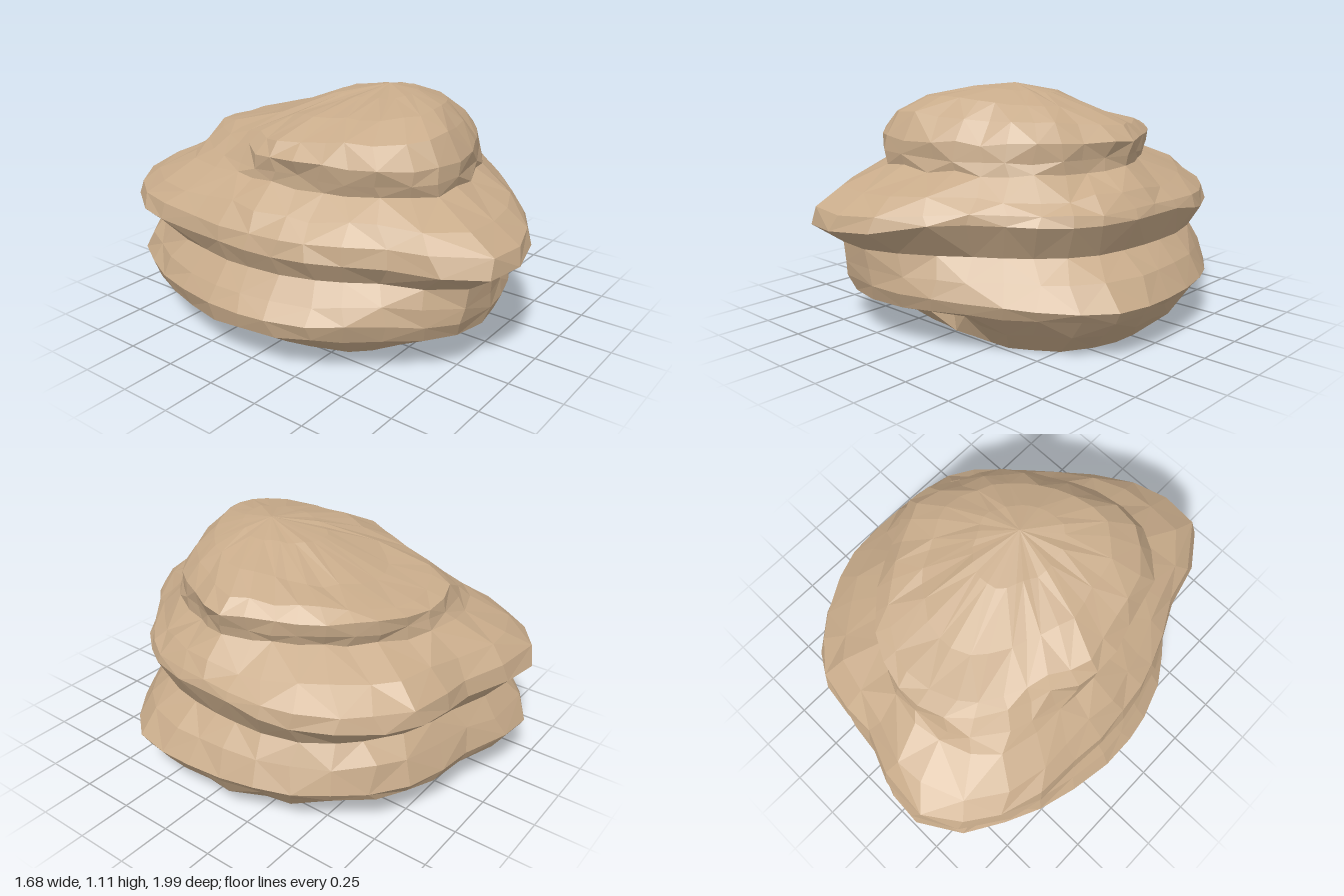
import * as THREE from 'three';

const SIDES = 32;

// Outlines: radii every 22.5 degrees, from +x round through +z (front)
const foot = [.62, .62, .6, .53, .48, .5, .52, .52, .5, .45, .4, .45, .53, .54, .53, .57];
const underside = [.73, .74, .69, .62, .5, .65, .69, .7, .7, .69, .72, .8, .74, .74, .73, .73];
const lowerLip = [.82, .865, .79, .76, .82, .89, .82, .83, .85, .88, .97, 1.07, .9, .9, .86, .83];
const groove = [.66, .67, .66, .67, .79, .91, .74, .72, .73, .77, .87, .95, .82, .8, .77, .72];
const upperLip = [.745, .76, .75, .77, .95, 1.06, .82, .78, .78, .83, 1.0, 1.08, .89, .92, .86, .8];
const neck = [.57, .55, .59, .6, .63, .69, .63, .55, .56, .6, .74, .74, .67, .59, .54, .53];
const cap = [.6, .56, .57, .57, .63, .7, .67, .575, .585, .54, .58, .66, .66, .61, .565, .55];
const blend = (a, b, t) => a.map((r, i) => r + (b[i] - r) * t);

// Smooth closed interpolation of an outline at an angle
function radiusAt(outline, angle) {
  const n = outline.length, t = (angle / (Math.PI * 2)) * n;
  const i = Math.floor(t), f = t - i;
  const [a, b, c, d] = [-1, 0, 1, 2].map(k => outline[(i + k + n) % n]);
  return b + 0.5 * f * (c - a + f * (2 * a - 5 * b + 4 * c - d + f * (3 * (b - c) + d - a)));
}

let seed = 7;
function jitter(amount) {
  seed = (seed * 16807) % 2147483647;
  return (seed / 2147483647 - 0.5) * 2 * amount;
}

// One cross-section: scaled outline, height as a rule of x and z, shifted centre, roughness
function ring({ outline, s = 1, y, cx = 0, cz = 0, rough = 0.01, lift = rough }) {
  const points = [];
  for (let i = 0; i < SIDES; i++) {
    const angle = (i / SIDES) * Math.PI * 2 + jitter(0.03);
    const r = radiusAt(outline, angle) * s + jitter(rough);
    const x = cx + Math.cos(angle) * r, z = cz + Math.sin(angle) * r;
    points.push(new THREE.Vector3(x, y(x, z) + jitter(lift), z));
  }
  return points;
}

// Faceted skin over rings from bottom to top, with optional end points
function layer(name, rings, material, { bottom, top } = {}) {
  const pos = [];
  const tri = (...ps) => ps.forEach(p => pos.push(p.x, p.y, p.z));
  for (let i = 0; i < SIDES; i++) {
    const j = (i + 1) % SIDES;
    for (let k = 0; k < rings.length - 1; k++) {
      const a = rings[k][i], b = rings[k][j], c = rings[k + 1][j], d = rings[k + 1][i];
      if ((i + k) % 2) { tri(a, d, b); tri(b, d, c); }
      else { tri(a, d, c); tri(a, c, b); }
    }
    if (bottom) tri(bottom, rings[0][i], rings[0][j]);
    if (top) tri(top, rings[rings.length - 1][j], rings[rings.length - 1][i]);
  }
  const geometry = new THREE.BufferGeometry();
  geometry.setAttribute('position', new THREE.Float32BufferAttribute(pos, 3));
  geometry.computeVertexNormals();
  const mesh = new THREE.Mesh(geometry, material);
  mesh.name = name;
  return mesh;
}

export function createModel() {
  const stone = new THREE.MeshStandardMaterial({ color: 0xc8ab8a, flatShading: true });

  // The upper lip climbs along the front left side
  const { smoothstep } = THREE.MathUtils;
  const climb = (x, z) => smoothstep(x, -0.1, 0.15) * smoothstep(z, -0.45, -0.2);

  // Rings where two layers meet
  const seam = ring({ outline: groove, y: () => 0.43, rough: 0.006, lift: 0 });
  const neckRing = ring({ outline: neck, y: () => 0.765, rough: 0.01 });

  // Flat foot, set forward under a hollow, flaring to the lower lip, then in to the groove
  const lower = [
    ring({ outline: foot, y: () => 0, lift: 0 }),
    ring({ outline: underside, y: () => 0.1 }),
    ring({ outline: lowerLip, s: 0.965, y: (x, z) => 0.185 + 0.015 * z }),
    ring({ outline: lowerLip, y: (x, z) => 0.25 + 0.015 * z - 0.02 * x, rough: 0.006 }),
    ring({ outline: blend(lowerLip, groove, 0.4), y: () => 0.34 }),
    seam,
  ];

  // Overhanging upper lip and the rough slope above it
  const upper = [
    seam,
    ring({ outline: upperLip, s: 0.99, y: (x, z) => 0.528 + 0.055 * climb(x, z), rough: 0.006 }),
    ring({ outline: upperLip, s: 0.97, y: (x, z) => 0.605 + 0.02 * climb(x, z), rough: 0.008 }),
    ring({ outline: blend(upperLip, neck, 0.42), y: () => 0.68, rough: 0.015 }),
    neckRing,
  ];

  // Domed cap stone, highest towards the front, running smoothly into the slope at the back
  const crown = [
    neckRing,
    ring({ outline: blend(neck, cap, 0.45), y: () => 0.815 }),
    ring({ outline: cap, y: (x, z) => 0.88 + 0.015 * z }),
    ring({ outline: cap, s: 0.89, y: (x, z) => 0.945 + 0.08 * z }),
    ring({ outline: cap, s: 0.66, y: (x, z) => 1.01 - 0.02 * x + (z < 0 ? 0.19 : 0.1) * z,
      cx: 0.02, cz: 0.05, rough: 0.008 }),
    ring({ outline: cap, s: 0.32, y: (x, z) => 1.065 + 0.08 * z, cx: 0.04, cz: 0.11, rough: 0.006 }),
  ];

  const group = new THREE.Group();
  group.name = 'layeredRock';
  group.add(
    layer('lowerLayer', lower, stone, { bottom: new THREE.Vector3(0.05, 0, 0) }),
    layer('upperLayer', upper, stone),
    layer('capStone', crown, stone, { top: new THREE.Vector3(0.06, 1.11, 0.16) }),
  );
  return group;
}
